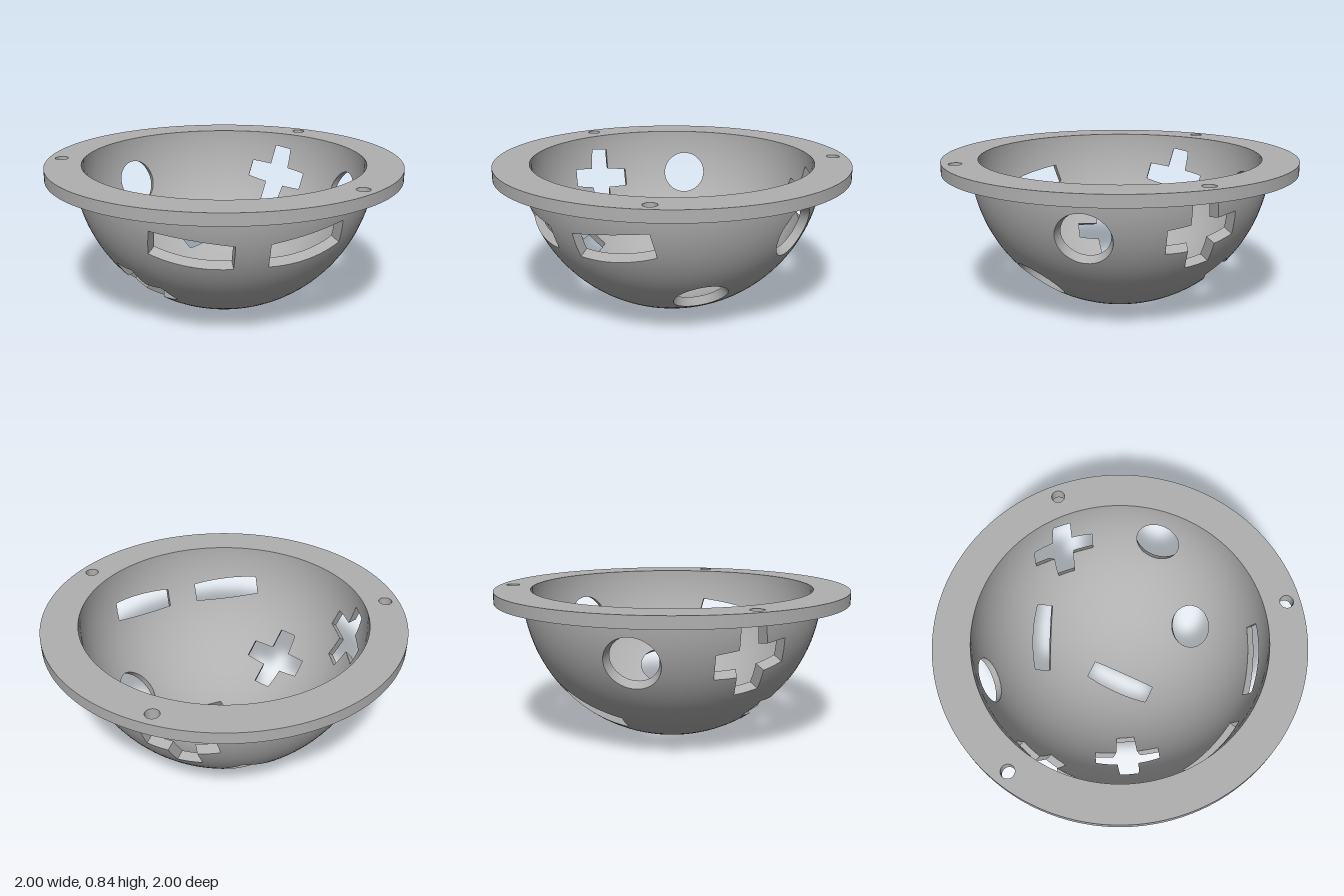
import * as THREE from 'three';
import { toCreasedNormals } from 'three/addons/utils/BufferGeometryUtils.js';

const R_OUT = 0.845, R_IN = 0.797, RIM_BOTTOM = 0.78;
const TAPER = 0.44; // cut-outs widen outwards
const rad = THREE.MathUtils.degToRad;

// Outlines: corners [u, v, offsetU, offsetV], counter-clockwise; offsets are scaled by the taper
const corner = (u, v) => [u, v, Math.sign(u), Math.sign(v)];
const rect = (a, b) => [corner(a, -b), corner(a, b), corner(-a, b), corner(-a, -b)];
const ring = (r, n) => Array.from({ length: n }, (_, i) => {
  const c = Math.cos(i / n * Math.PI * 2), s = Math.sin(i / n * Math.PI * 2);
  return [r * c, r * s, c, s];
});
const A = 0.193, B = 0.062;
const SHAPES = {
  slot: { pieces: [rect(0.209, 0.065)], outline: rect(0.209, 0.065), steps: 10 },
  round: { pieces: [ring(0.133, 48)], outline: ring(0.133, 48), steps: 1 },
  cross: {
    pieces: [rect(A, B), rect(B, A)], steps: 5,
    outline: [[A, -B], [A, B], [B, B], [B, A], [-B, A], [-B, B], [-A, B], [-A, -B], [-B, -B], [-B, -A], [B, -A], [B, -B]]
      .map(p => corner(...p)),
  },
};

// Cut-outs sit on the corners of a dodecahedron: [shape, azimuth, angle below rim, roll]
const LOW = 48.19, HIGH = 19.47, TILT = 7.76;
const CUTS = [
  ['slot', 37.76, 90, 90],
  ['cross', 97.76, LOW, 0], ['slot', 217.76, LOW, 30], ['round', 337.76, LOW, 0],
  ['slot', 15.52, HIGH, -TILT], ['slot', 60, HIGH, TILT],
  ['cross', 135.52, HIGH, -TILT], ['round', 180, HIGH, 0],
  ['cross', 255.52, HIGH, -TILT], ['round', 300, HIGH, 0],
].map(([name, azDeg, downDeg, rollDeg]) => {
  const az = rad(azDeg), f = rad(downDeg), q = rad(rollDeg);
  const w = new THREE.Vector3(Math.cos(f) * Math.cos(az), -Math.sin(f), Math.cos(f) * Math.sin(az));
  const t = new THREE.Vector3(-Math.sin(az), 0, Math.cos(az));
  const m = new THREE.Vector3(Math.sin(f) * Math.cos(az), Math.cos(f), Math.sin(f) * Math.sin(az));
  const u = t.clone().multiplyScalar(-Math.cos(q)).addScaledVector(m, -Math.sin(q));
  const v = t.clone().multiplyScalar(-Math.sin(q)).addScaledVector(m, Math.cos(q));
  const shape = SHAPES[name];
  // side planes of each convex piece
  const pieces = shape.pieces.map(poly => poly.map((p, i) => {
    const p2 = poly[(i + 1) % poly.length];
    const len = Math.hypot(p2[0] - p[0], p2[1] - p[1]);
    const nu = (p2[1] - p[1]) / len, nv = (p[0] - p2[0]) / len;
    const normal = new THREE.Vector3().addScaledVector(u, nu).addScaledVector(v, nv).addScaledVector(w, -TAPER);
    return { normal, d: nu * p[0] + nv * p[1] - TAPER * R_IN };
  }));
  return { name, shape, u, v, w, pieces };
});

// Split a convex polygon by a plane into [inside, outside]
function split(poly, { normal, d }) {
  const inside = [], outside = [];
  poly.forEach((p, i) => {
    const q = poly[(i + 1) % poly.length];
    const a = normal.dot(p) - d, b = normal.dot(q) - d;
    if (a <= 0) inside.push(p);
    if (a >= 0) outside.push(p);
    if (a * b < 0) {
      const x = p.clone().lerp(q, a / (a - b));
      inside.push(x);
      outside.push(x);
    }
  });
  return [inside, outside];
}

// Convex polygon minus one convex piece
function subtract(poly, planes) {
  const kept = [];
  let rest = poly;
  for (const plane of planes) {
    const [inside, outside] = split(rest, plane);
    if (inside.length < 3) return [poly];
    if (outside.length > 2) kept.push(outside);
    rest = inside;
  }
  return kept;
}

function geometryFrom(points) {
  const g = new THREE.BufferGeometry();
  g.setAttribute('position', new THREE.Float32BufferAttribute(points.flatMap(p => [p.x, p.y, p.z]), 3));
  return g;
}

// Half sphere with every cut-out removed; side = 1 faces out, -1 faces in
function shell(radius, side) {
  const pos = new THREE.SphereGeometry(radius, 96, 32, 0, Math.PI * 2, Math.PI / 2, Math.PI / 2)
    .toNonIndexed().attributes.position;
  const out = [];
  for (let i = 0; i < pos.count; i += 3) {
    const tri = [0, 1, 2].map(k => new THREE.Vector3().fromBufferAttribute(pos, i + k));
    let polys = [tri];
    for (const cut of CUTS) {
      if (tri[0].dot(cut.w) < radius * 0.9) continue;
      for (const planes of cut.pieces) polys = polys.flatMap(p => subtract(p, planes));
    }
    for (const p of polys) {
      for (let k = 1; k < p.length - 1; k++) {
        out.push(p[0], ...(side > 0 ? [p[k], p[k + 1]] : [p[k + 1], p[k]]));
      }
    }
  }
  const g = geometryFrom(out);
  g.setAttribute('normal', new THREE.Float32BufferAttribute(out.flatMap(p => {
    const n = p.clone().normalize().multiplyScalar(side);
    return [n.x, n.y, n.z];
  }), 3));
  return g;
}

// Tapered wall of a cut-out, running from the inner to the outer sphere
function cutWall({ shape, u, v, w }) {
  const { outline, steps } = shape;
  const onSphere = ([a, b, ou, ov], radius) => {
    const du = TAPER * ou, dv = TAPER * ov;
    const qa = du * du + dv * dv + 1, qb = a * du + b * dv + R_IN;
    const qc = a * a + b * b + R_IN * R_IN - radius * radius;
    const t = (-qb + Math.sqrt(qb * qb - qa * qc)) / qa;
    return new THREE.Vector3().addScaledVector(u, a + du * t).addScaledVector(v, b + dv * t).addScaledVector(w, R_IN + t);
  };
  const loop = outline.flatMap((p, i) => {
    const q = outline[(i + 1) % outline.length];
    return Array.from({ length: steps }, (_, s) => p.map((x, k) => x + (q[k] - x) * s / steps));
  });
  const inner = loop.map(p => onSphere(p, R_IN)), outer = loop.map(p => onSphere(p, R_OUT));
  const pts = [];
  loop.forEach((_, i) => {
    const j = (i + 1) % loop.length;
    pts.push(inner[i], outer[i], outer[j], inner[i], outer[j], inner[j]);
  });
  const g = geometryFrom(pts);
  g.computeVertexNormals();
  return toCreasedNormals(g, rad(30));
}

// Flat mounting rim with three bolt holes
function rimGeometry() {
  const shape = new THREE.Shape().absarc(0, 0, 1, 0, Math.PI * 2);
  shape.holes.push(new THREE.Path().absarc(0, 0, R_IN, 0, Math.PI * 2, true));
  for (const deg of [0, 140, 260]) {
    const x = 0.925 * Math.cos(rad(deg)), y = -0.925 * Math.sin(rad(deg));
    shape.holes.push(new THREE.Path().absarc(x, y, 0.037, 0, Math.PI * 2, true));
  }
  const g = new THREE.ExtrudeGeometry(shape, { depth: R_OUT - RIM_BOTTOM, bevelEnabled: false, curveSegments: 96 });
  g.rotateX(-Math.PI / 2).translate(0, RIM_BOTTOM, 0);
  return toCreasedNormals(g, rad(30));
}

export function createModel() {
  const model = new THREE.Group();
  model.name = 'perforatedBowl';
  const grey = new THREE.MeshStandardMaterial({ color: 0xb0b0b0 });
  grey.name = 'grey';
  const add = (parent, name, geometry) => {
    const mesh = new THREE.Mesh(geometry, grey);
    mesh.name = name;
    parent.add(mesh);
  };

  const bowl = new THREE.Group();
  bowl.name = 'bowl';
  bowl.position.y = R_OUT;
  add(bowl, 'outerShell', shell(R_OUT, 1));
  add(bowl, 'innerShell', shell(R_IN, -1));
  CUTS.forEach(cut => add(bowl, cut.name + 'HoleWall', cutWall(cut)));
  model.add(bowl);

  add(model, 'rim', rimGeometry());
  return model;
}
